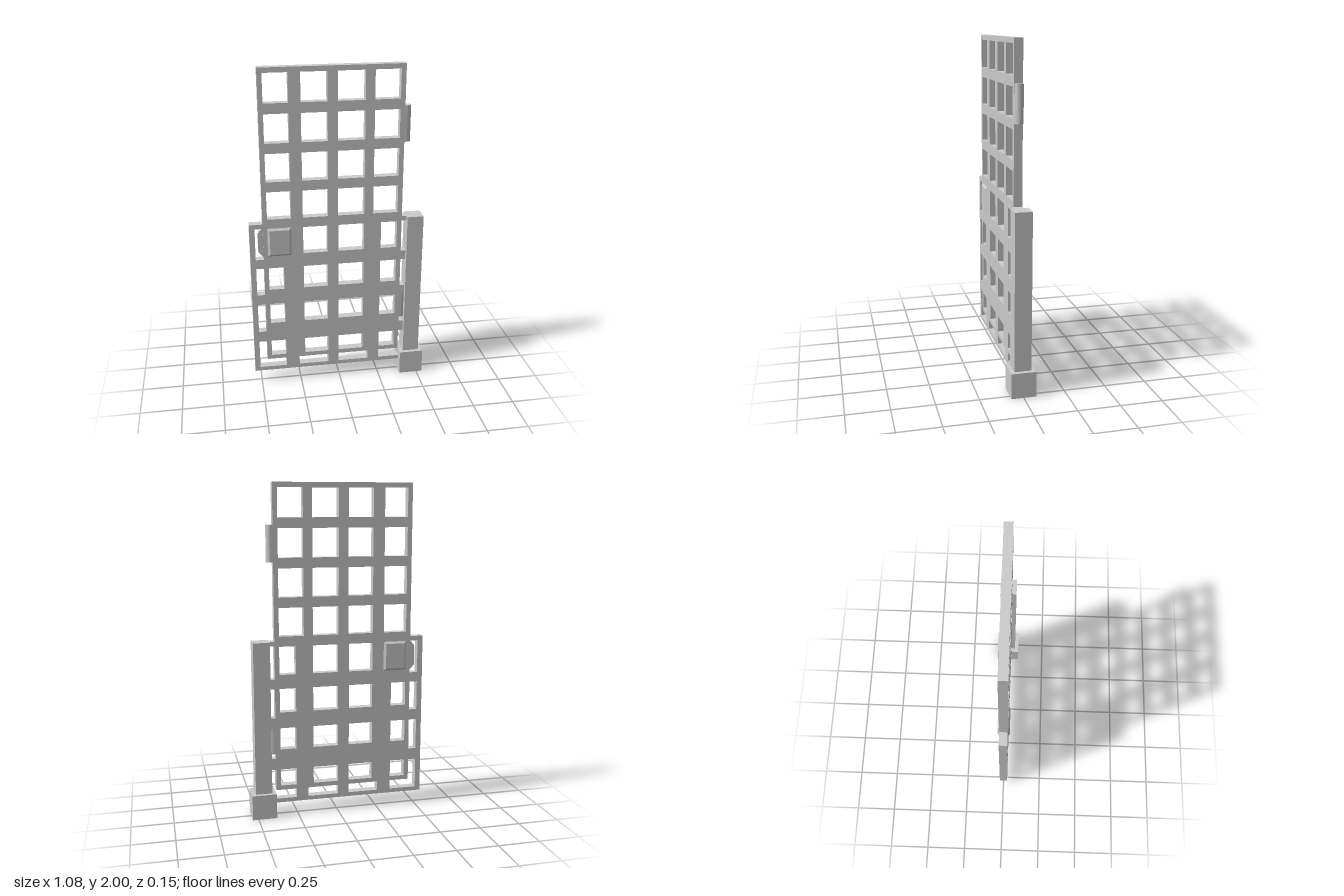
import * as THREE from 'three';

const material = new THREE.MeshStandardMaterial({ color: 0xcccccc, flatShading: true });

function add(group, name, geometry, x = 0, y = 0, z = 0) {
  const mesh = new THREE.Mesh(geometry, material);
  mesh.name = name;
  mesh.position.set(x, y, z);
  group.add(mesh);
  return mesh;
}

function polygon(points) {
  return new THREE.Shape(points.map(([x, y]) => new THREE.Vector2(x, y)));
}

function rect(x0, x1, y0, y1) {
  return polygon([[x0, y0], [x1, y0], [x1, y1], [x0, y1]]);
}

// Flat outline given thickness, centred on z = 0
function slab(shape, depth) {
  return new THREE.ExtrudeGeometry(shape, { depth, bevelEnabled: false }).translate(0, 0, -depth / 2);
}

// Rectangular panel pierced by a grid of openings
function lattice([x0, x1, y0, y1], columns, rows, depth) {
  const shape = rect(x0, x1, y0, y1);
  for (const [a, b] of columns)
    for (const [c, d] of rows) shape.holes.push(rect(a, b, c, d));
  return slab(shape, depth);
}

export function createModel() {
  const model = new THREE.Group();
  model.name = 'latticeGate';

  // Tall sliding lattice with eight rows of openings
  const tallRows = [];
  for (let i = 0; i < 8; i++) {
    const bottom = 0.187 + i * 0.2305;
    tallRows.push([bottom, bottom + 0.17]);
  }
  add(model, 'tallLattice', lattice([-0.46, 0.382, 0.16, 2],
    [[-0.432, -0.29], [-0.22, -0.068], [-0.008, 0.15], [0.205, 0.354]], tallRows, 0.05));

  // Short outer lattice with four rows, running into the post
  add(model, 'outerLattice', lattice([-0.54, 0.44, 0.08, 1.08],
    [[-0.508, -0.34], [-0.257, -0.072], [-0.005, 0.185], [0.255, 0.412]],
    [[0.105, 0.29], [0.36, 0.55], [0.615, 0.793], [0.852, 1.052]], 0.05));

  // Post and its square foot
  add(model, 'post', new THREE.BoxGeometry(0.1, 0.93, 0.1), 0.462, 0.615, 0);
  add(model, 'postFoot', new THREE.BoxGeometry(0.148, 0.152, 0.146), 0.462, 0.076, 0);

  // Rounded hinges on the edge of the tall lattice
  for (const [name, y] of [['upperHinge', 1.652], ['lowerHinge', 0.47]]) {
    const height = name === 'upperHinge' ? 0.215 : 0.16;
    add(model, name, new THREE.CylinderGeometry(0.025, 0.025, height, 16), 0.396, y, 0);
    add(model, name + 'Mount', new THREE.BoxGeometry(0.02, height, 0.05), 0.387, y, 0);
  }

  // Lock box with bevelled faces on both sides
  const lock = new THREE.ExtrudeGeometry(rect(-0.42, -0.304, 0.885, 1.038), {
    depth: 0.05, bevelEnabled: true, bevelThickness: 0.011, bevelSize: 0.013, bevelSegments: 1,
  }).translate(0, 0, -0.025);
  add(model, 'lockBox', lock);

  // Tapered latch reaching from the lock side towards the outer frame
  add(model, 'latch', slab(polygon([
    [-0.455, 0.87], [-0.455, 1.05], [-0.465, 1.05], [-0.49, 1.02], [-0.49, 0.9], [-0.465, 0.87],
  ]), 0.03));

  return model;
}
